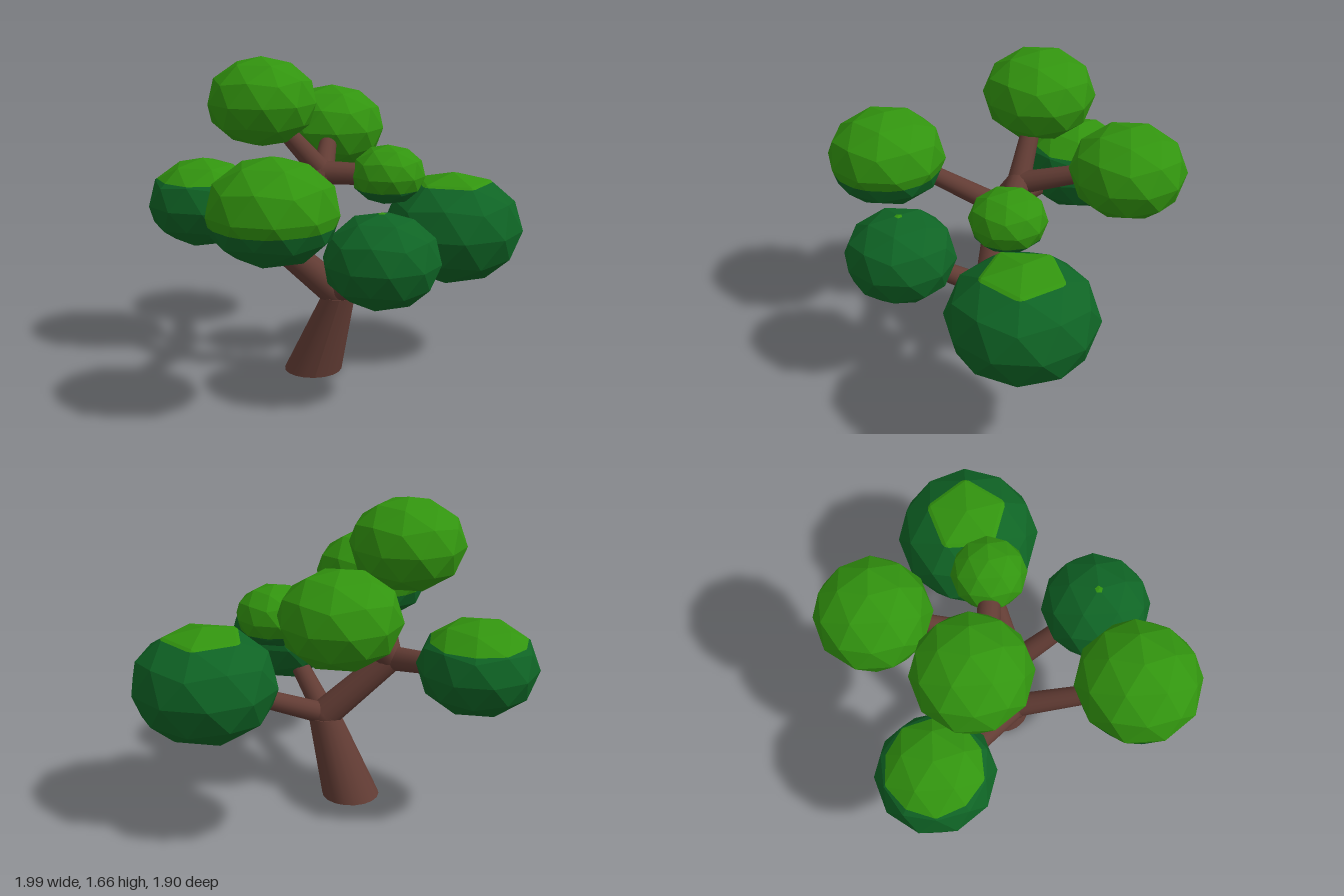
import * as THREE from 'three';

const bark = new THREE.MeshStandardMaterial({ color: 0x623c34 });
const lightLeaf = new THREE.MeshStandardMaterial({ color: 0x32940f });
const darkLeaf = new THREE.MeshStandardMaterial({ color: 0x0f6425 });
bark.name = 'bark';
lightLeaf.name = 'light leaf';
darkLeaf.name = 'dark leaf';

// Leaves above this height are light, below it dark
const SPLIT_Y = 0.98;

// Tapered limb between two points
function limb(name, from, to, r0, r1) {
  const a = new THREE.Vector3(...from), b = new THREE.Vector3(...to);
  const dir = b.clone().sub(a);
  const mesh = new THREE.Mesh(new THREE.CylinderGeometry(r1, r0, dir.length(), 14), bark);
  mesh.position.copy(a).add(b).multiplyScalar(0.5);
  mesh.quaternion.setFromUnitVectors(new THREE.Vector3(0, 1, 0), dir.normalize());
  mesh.name = name;
  return mesh;
}

// Rounded knuckle where limbs meet
function joint(name, at, r) {
  const mesh = new THREE.Mesh(new THREE.SphereGeometry(r, 14, 10), bark);
  mesh.position.set(...at);
  mesh.name = name;
  return mesh;
}

// Keep the part of a triangle mesh above (sign 1) or below (sign -1) the split height
function clip(geo, sign) {
  const p = geo.attributes.position, out = [];
  for (let i = 0; i < p.count; i += 3) {
    const tri = [0, 1, 2].map(k => new THREE.Vector3().fromBufferAttribute(p, i + k));
    const poly = [];
    tri.forEach((a, k) => {
      const b = tri[(k + 1) % 3];
      const da = sign * (a.y - SPLIT_Y), db = sign * (b.y - SPLIT_Y);
      if (da >= 0) poly.push(a);
      if (da * db < 0) poly.push(a.clone().lerp(b, da / (da - db)));
    });
    for (let k = 1; k + 1 < poly.length; k++)
      for (const v of [poly[0], poly[k], poly[k + 1]]) out.push(v.x, v.y, v.z);
  }
  const g = new THREE.BufferGeometry();
  g.setAttribute('position', new THREE.Float32BufferAttribute(out, 3));
  g.computeVertexNormals();
  return g;
}

// Faceted leaf clump, flattened in height, with a vertex at its top
function clump(name, [x, y, z], r, ry) {
  const geo = new THREE.IcosahedronGeometry(1, 1);
  geo.rotateZ(-Math.atan(2 / (1 + Math.sqrt(5))));
  geo.scale(r, ry, r);
  geo.translate(x, y, z);
  const group = new THREE.Group();
  group.name = name;
  for (const [sign, mat, part] of [[1, lightLeaf, 'lightLeaves'], [-1, darkLeaf, 'darkLeaves']]) {
    const g = clip(geo, sign);
    if (g.attributes.position.count === 0) continue;
    const mesh = new THREE.Mesh(g, mat);
    mesh.name = part;
    group.add(mesh);
  }
  return group;
}

export function createModel() {
  const tree = new THREE.Group();
  tree.name = 'tree';

  // Leaning trunk: a tapered cylinder sheared so its foot stays level
  const H = 0.43;
  const trunkGeo = new THREE.CylinderGeometry(0.087, 0.153, H, 18).translate(0, H / 2, 0);
  const pos = trunkGeo.attributes.position;
  for (let i = 0; i < pos.count; i++) {
    const t = pos.getY(i) / H;
    pos.setX(i, pos.getX(i) - 0.13 + 0.13 * t);
    pos.setZ(i, pos.getZ(i) - 0.043 + 0.08 * t);
  }
  trunkGeo.computeVertexNormals();
  const trunk = new THREE.Mesh(trunkGeo, bark);
  trunk.name = 'trunk';
  tree.add(trunk);

  // Three forks: top of trunk, left elbow, upper crown
  const fork = [0, 0.44, 0.035], elbow = [-0.35, 0.75, 0.01], crown = [-0.07, 1.06, -0.11];
  tree.add(
    joint('trunkFork', fork, 0.083),
    joint('elbowFork', elbow, 0.071),
    joint('crownFork', crown, 0.063),
    limb('mainBranch', fork, elbow, 0.083, 0.07),
    limb('risingBranch', elbow, crown, 0.07, 0.063),
    limb('rightBranch', fork, [0.5, 0.66, -0.11], 0.058, 0.045),
    limb('nearBranch', fork, [0.15, 0.7, 0.4], 0.06, 0.045),
    limb('sideBranch', elbow, [-0.64, 0.8, -0.3], 0.065, 0.05),
    limb('frontBranch', elbow, [-0.37, 0.98, 0.5], 0.06, 0.045),
    limb('topBranch', crown, [-0.34, 1.36, -0.18], 0.06, 0.042),
    limb('backBranch', crown, [0, 1.2, -0.55], 0.06, 0.042),
    limb('smallBranch', crown, [0.2, 1.05, -0.08], 0.063, 0.055)
  );

  // Leaf clumps: name, centre, radius, half height
  const clumps = [
    ['rightClump', [0.635, 0.733, -0.18], 0.38, 0.303],
    ['nearClump', [0.175, 0.745, 0.477], 0.293, 0.24],
    ['sideClump', [-0.705, 0.845, -0.405], 0.307, 0.245],
    ['frontClump', [-0.35, 1.035, 0.622], 0.322, 0.26],
    ['topClump', [-0.382, 1.425, -0.192], 0.293, 0.235],
    ['backClump', [0.02, 1.212, -0.66], 0.295, 0.235],
    ['smallClump', [0.27, 1.05, -0.083], 0.198, 0.158]
  ];
  for (const c of clumps) tree.add(clump(...c));
  return tree;
}
